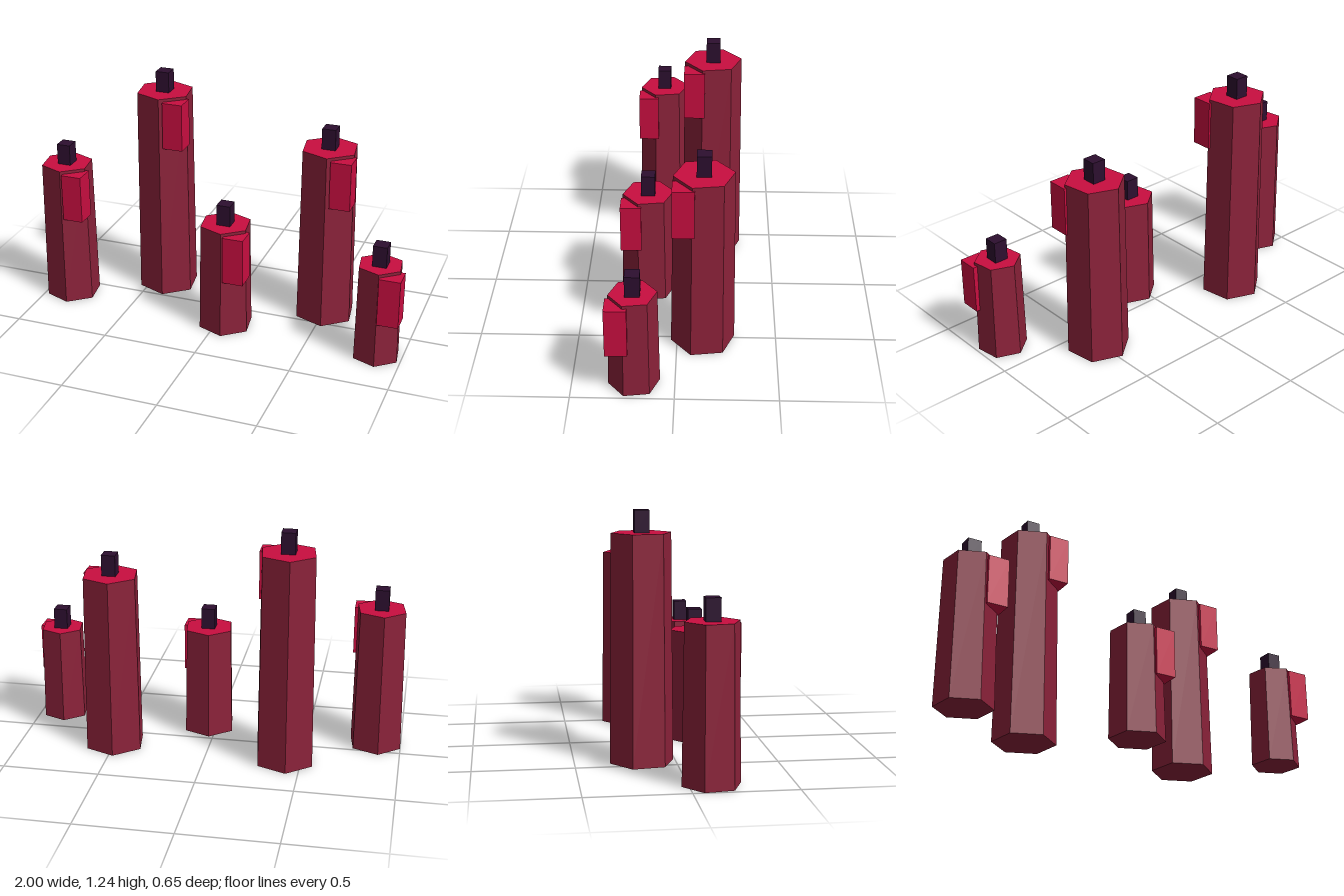
import * as THREE from 'three';

const wax = new THREE.MeshStandardMaterial({ color: 0x8c223a, flatShading: true });
wax.name = 'dark red wax';
const crimson = new THREE.MeshStandardMaterial({ color: 0xc90e40, flatShading: true });
crimson.name = 'crimson melted wax';
const wickColor = new THREE.MeshStandardMaterial({ color: 0x2d0f2f, flatShading: true });
wickColor.name = 'dark purple wick';

const WICK = { width: 0.072, height: 0.11 };
const DRIP = { width: 0.108, height: 0.253, drop: 0.016 };

// x, z, base radius and height of each candle
const CANDLES = [
  [-0.866, 0.107, 0.144, 0.766],
  [-0.412, -0.167, 0.162, 1.132],
  [0.044, 0.161, 0.144, 0.583],
  [0.502, -0.13, 0.162, 0.95],
  [0.866, 0.198, 0.126, 0.512],
];

function part(name, geometry, material, x, y, z) {
  const mesh = new THREE.Mesh(geometry, material);
  mesh.name = name;
  mesh.position.set(x, y, z);
  return mesh;
}

function createCandle(x, z, radius, height) {
  const candle = new THREE.Group();
  candle.name = 'candle';
  candle.position.set(x, 0, z);

  // Tapered six-sided body: sides, melted top, base
  const body = part('candleBody', new THREE.CylinderGeometry(radius * 0.93, radius, height, 6),
    [wax, crimson, wax], 0, height / 2, 0);
  body.rotation.y = 0.15;

  // Square wick standing on the top
  const wick = part('wick', new THREE.BoxGeometry(WICK.width, WICK.height, WICK.width),
    wickColor, 0, height + WICK.height / 2, 0);

  // Wax drip sunk into the front left side
  const drip = part('waxDrip', new THREE.BoxGeometry(DRIP.width, DRIP.height, DRIP.width),
    crimson, radius * 0.6, height - DRIP.drop - DRIP.height / 2, radius * 0.6);

  candle.add(body, wick, drip);
  return candle;
}

export function createModel() {
  const group = new THREE.Group();
  group.name = 'candleCluster';
  for (const spec of CANDLES) group.add(createCandle(...spec));
  return group;
}
